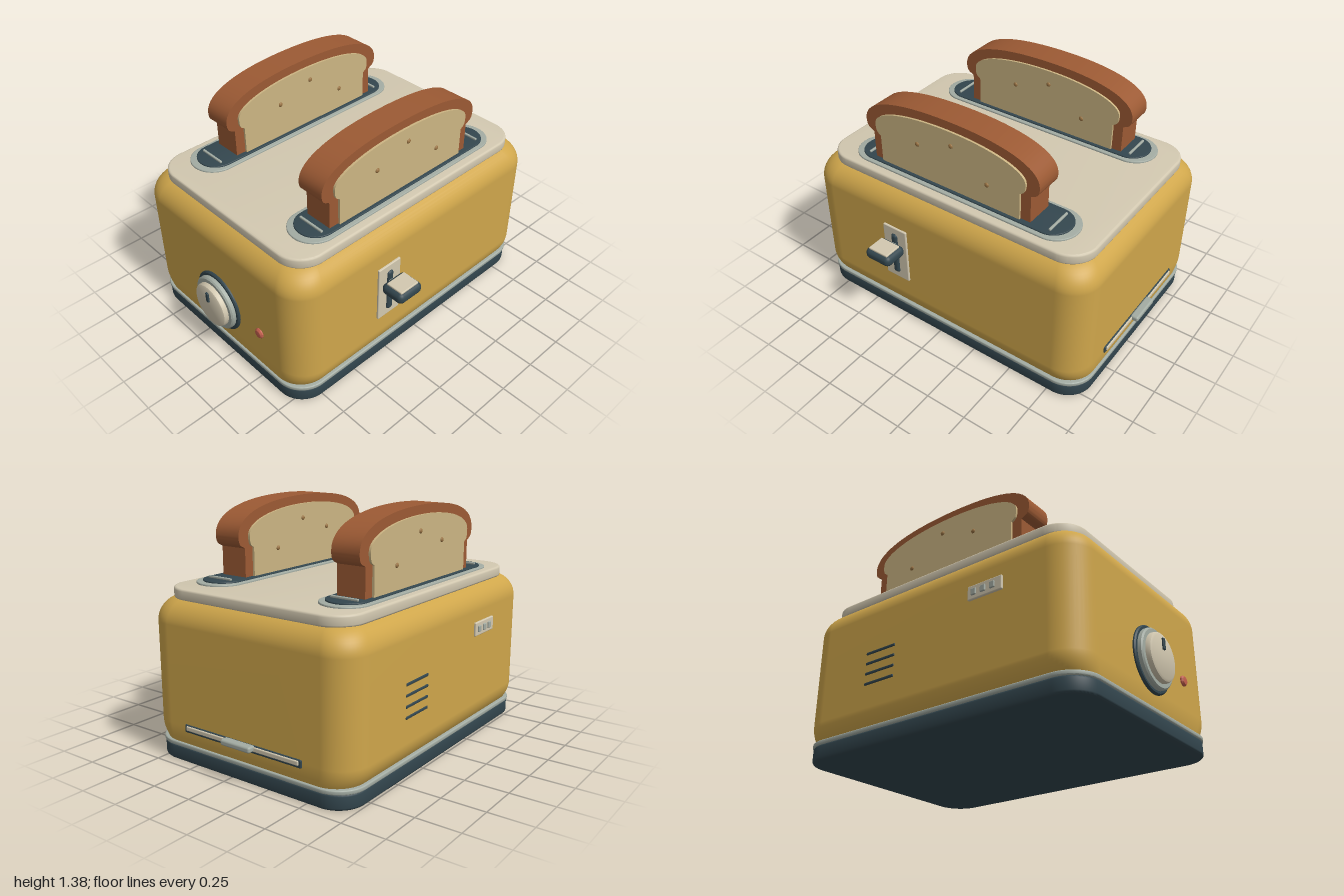
import * as THREE from 'three';
import { RoundedBoxGeometry } from 'three/addons/geometries/RoundedBoxGeometry.js';
import { toCreasedNormals } from 'three/addons/utils/BufferGeometryUtils.js';

const CX = -0.08, CZ = -0.0175; // centre of the housing in plan
const mat = (color) => new THREE.MeshStandardMaterial({ color });
const M = {
  yellow: mat(0xcfa64b), cream: mat(0xd2c8b0), dark: mat(0x33464e), grey: mat(0xa3aca3),
  crust: mat(0x9c5a34), crumb: mat(0xccb583), spot: mat(0x9a7444), red: mat(0xc4604e),
};

function add(parent, name, geo, material, x = 0, y = 0, z = 0) {
  const m = new THREE.Mesh(geo, material);
  m.name = name;
  m.position.set(x, y, z);
  parent.add(m);
  return m;
}
const rbox = (w, h, d, r) => new RoundedBoxGeometry(w, h, d, 3, r);

function roundRect(hw, hd, r) {
  const s = new THREE.Shape();
  s.absarc(hw - r, hd - r, r, 0, Math.PI / 2);
  s.absarc(-hw + r, hd - r, r, Math.PI / 2, Math.PI);
  s.absarc(-hw + r, -hd + r, r, Math.PI, Math.PI * 1.5);
  s.absarc(hw - r, -hd + r, r, Math.PI * 1.5, Math.PI * 2);
  s.closePath();
  return s;
}

// Bevelled extrusion whose outer size and thickness stay exactly as given
function slab(shape, thickness, bevel) {
  return toCreasedNormals(new THREE.ExtrudeGeometry(shape, {
    depth: thickness - 2 * bevel, bevelEnabled: true, bevelThickness: bevel, bevelSize: bevel,
    bevelOffset: -bevel, bevelSegments: 3, curveSegments: 14,
  }).translate(0, 0, bevel), 0.6);
}
const flatSlab = (hw, hd, r, h, bevel) => slab(roundRect(hw, hd, r), h, bevel).rotateX(-Math.PI / 2);

// Housing: rounded-rectangle rings, softened at bottom and top
function housingGeometry() {
  const rings = [], N = 8;
  for (let i = 0; i <= N; i++) {
    const t = 1 - i / N;
    rings.push([0.1 + 0.11 * (1 - t), 0.04 * t * t, 0.012 * t * t]);
  }
  for (let i = 0; i <= 12; i++) {
    const a = (i / 12) * Math.PI / 2, inset = 0.14 * (1 - Math.cos(a));
    rings.push([0.765 + 0.14 * Math.sin(a), inset, inset]);
  }
  const pos = [], idx = [], seg = 12, per = 4 * (seg + 1);
  for (const [y, ix, iz] of rings) {
    const hw = 0.68 - ix, hd = 0.9325 - iz, r = 0.17 - Math.min(ix, iz) * 0.6;
    for (let c = 0; c < 4; c++) for (let k = 0; k <= seg; k++) {
      const a = (c + k / seg) * Math.PI / 2;
      const sx = c === 0 || c === 3 ? 1 : -1, sz = c < 2 ? 1 : -1;
      pos.push(sx * (hw - r) + r * Math.cos(a), y, sz * (hd - r) + r * Math.sin(a));
    }
  }
  for (let j = 0; j < rings.length - 1; j++) for (let i = 0; i < per; i++) {
    const a = j * per + i, b = j * per + (i + 1) % per;
    idx.push(a, a + per, b, b, a + per, b + per);
  }
  const g = new THREE.BufferGeometry();
  g.setAttribute('position', new THREE.Float32BufferAttribute(pos, 3));
  g.setIndex(idx);
  g.computeVertexNormals();
  return g;
}

// Bread outline: straight sides, a notch, then a domed top
function breadShape(w, wide, notchY, top) {
  const s = new THREE.Shape(), bottom = 0.95, mid = notchY + 0.07;
  s.moveTo(-w, bottom);
  s.lineTo(w, bottom);
  s.lineTo(w, notchY);
  s.bezierCurveTo(w + 0.02, notchY + 0.015, wide, notchY + 0.01, wide, mid);
  s.bezierCurveTo(wide, top - 0.06, wide * 0.6, top, 0, top);
  s.bezierCurveTo(-wide * 0.6, top, -wide, top - 0.06, -wide, mid);
  s.bezierCurveTo(-wide, notchY + 0.01, -w - 0.02, notchY + 0.015, -w, notchY);
  s.closePath();
  return s;
}
function breadGeometry(shape, thickness) {
  const g = new THREE.ExtrudeGeometry(shape, { depth: thickness, bevelEnabled: false, curveSegments: 16 });
  return toCreasedNormals(g.translate(0, 0, -thickness / 2).rotateY(Math.PI / 2), 0.6);
}

function toast(x, z) {
  const g = new THREE.Group();
  g.name = 'toast';
  g.position.set(x, 0, z);
  add(g, 'crust', breadGeometry(breadShape(0.525, 0.575, 1.13, 1.385), 0.17), M.crust);
  add(g, 'crumb', breadGeometry(breadShape(0.465, 0.498, 1.13, 1.335), 0.196), M.crumb);
  for (const side of [-1, 1]) for (const [pz, py] of [[0.2, 1.175], [-0.03, 1.25], [-0.26, 1.1]]) {
    add(g, 'crumbSpot', new THREE.SphereGeometry(0.014, 12, 8), M.spot, side * 0.098, py, pz).scale.x = 0.6;
  }
  return g;
}

// Disc on the front, stepped by a lathe profile of [radius, height] pairs
function disc(profile) {
  const pts = profile.map(([r, h]) => new THREE.Vector2(r, h));
  return toCreasedNormals(new THREE.LatheGeometry(pts, 48).rotateX(Math.PI / 2), 0.6);
}

export function createModel() {
  const model = new THREE.Group();
  model.name = 'toaster';

  // Base, trim, housing, top plate
  add(model, 'base', flatSlab(0.663, 0.93, 0.16, 0.09, 0.015), M.dark, CX, 0, CZ);
  add(model, 'baseTrim', flatSlab(0.668, 0.935, 0.165, 0.025, 0.006), M.grey, CX, 0.085, CZ);
  add(model, 'housing', housingGeometry(), M.yellow, CX, 0, CZ);
  add(model, 'topPlate', flatSlab(0.61, 0.8625, 0.16, 0.062, 0.012), M.cream, CX, 0.888, -0.0225);

  // Slots with end bars, and toast
  for (const [x, toastZ] of [[-0.502, -0.05], [0.34, 0.01]]) {
    const slot = new THREE.Group();
    slot.name = 'slot';
    slot.position.set(x, 0, -0.0225);
    add(slot, 'slotRim', flatSlab(0.14, 0.73, 0.138, 0.02, 0.004), M.grey, 0, 0.94, 0);
    add(slot, 'slotWell', flatSlab(0.116, 0.69, 0.114, 0.026, 0.003), M.dark, 0, 0.942, 0);
    for (const s of [-1, 1]) add(slot, 'slotBar', rbox(0.17, 0.014, 0.014, 0.005), M.grey, 0, 0.974, s * 0.608);
    model.add(slot, toast(x, toastZ));
  }

  // Browning dial and indicator lamp on the front
  const dial = new THREE.Group();
  dial.name = 'dial';
  dial.position.set(CX, 0.365, 0.905);
  add(dial, 'dialBezel', disc([[0, 0], [0.185, 0], [0.185, 0.018], [0.178, 0.025], [0, 0.025]]), M.dark);
  add(dial, 'dialRing', disc([[0, 0.02], [0.165, 0.02], [0.165, 0.045], [0.157, 0.053], [0, 0.053]]), M.grey);
  add(dial, 'dialKnob', disc([[0, 0.05], [0.135, 0.05], [0.135, 0.068], [0.13, 0.079], [0.118, 0.085], [0, 0.085]]), M.cream);
  add(dial, 'dialPointer', rbox(0.022, 0.065, 0.02, 0.004), M.dark, 0, 0.07, 0.085);
  model.add(dial);
  add(model, 'lamp', disc([[0, 0], [0.03, 0], [0.03, 0.014], [0.022, 0.023], [0, 0.026]]), M.red, 0.275, 0.37, 0.908);

  // Lever on the left side
  const lever = new THREE.Group();
  lever.name = 'lever';
  lever.position.set(0.6, 0, 0.272);
  add(lever, 'leverPlate', rbox(0.024, 0.36, 0.165, 0.006), M.cream, 0, 0.5, 0);
  add(lever, 'leverTrack', rbox(0.04, 0.28, 0.044, 0.018), M.dark, 0.005, 0.5, 0);
  add(lever, 'leverStem', rbox(0.06, 0.034, 0.034, 0.01), M.grey, 0.04, 0.568, 0);
  add(lever, 'leverKnob', rbox(0.15, 0.068, 0.175, 0.03), M.dark, 0.1, 0.568, -0.002);
  add(lever, 'leverPad', rbox(0.108, 0.014, 0.132, 0.005), M.cream, 0.104, 0.604, -0.002);
  model.add(lever);

  // Vents and button panel on the right side
  for (let i = 0; i < 4; i++) add(model, 'vent', rbox(0.012, 0.016, 0.215, 0.005), M.dark, -0.759, 0.35 + i * 0.06, -0.348);
  add(model, 'buttonPanel', rbox(0.02, 0.08, 0.22, 0.006), M.cream, -0.762, 0.66, 0.378);
  for (let i = -1; i <= 1; i++) add(model, 'button', rbox(0.018, 0.038, 0.032, 0.005), M.grey, -0.771, 0.66, 0.37 + i * 0.06);

  // Crumb tray on the back
  add(model, 'traySlot', rbox(0.8, 0.044, 0.016, 0.006), M.dark, CX, 0.205, -0.95);
  add(model, 'trayFront', rbox(0.77, 0.026, 0.016, 0.006), M.cream, CX, 0.209, -0.957);
  add(model, 'trayHandle', rbox(0.2, 0.034, 0.05, 0.012), M.grey, CX, 0.213, -0.975);

  return model;
}
